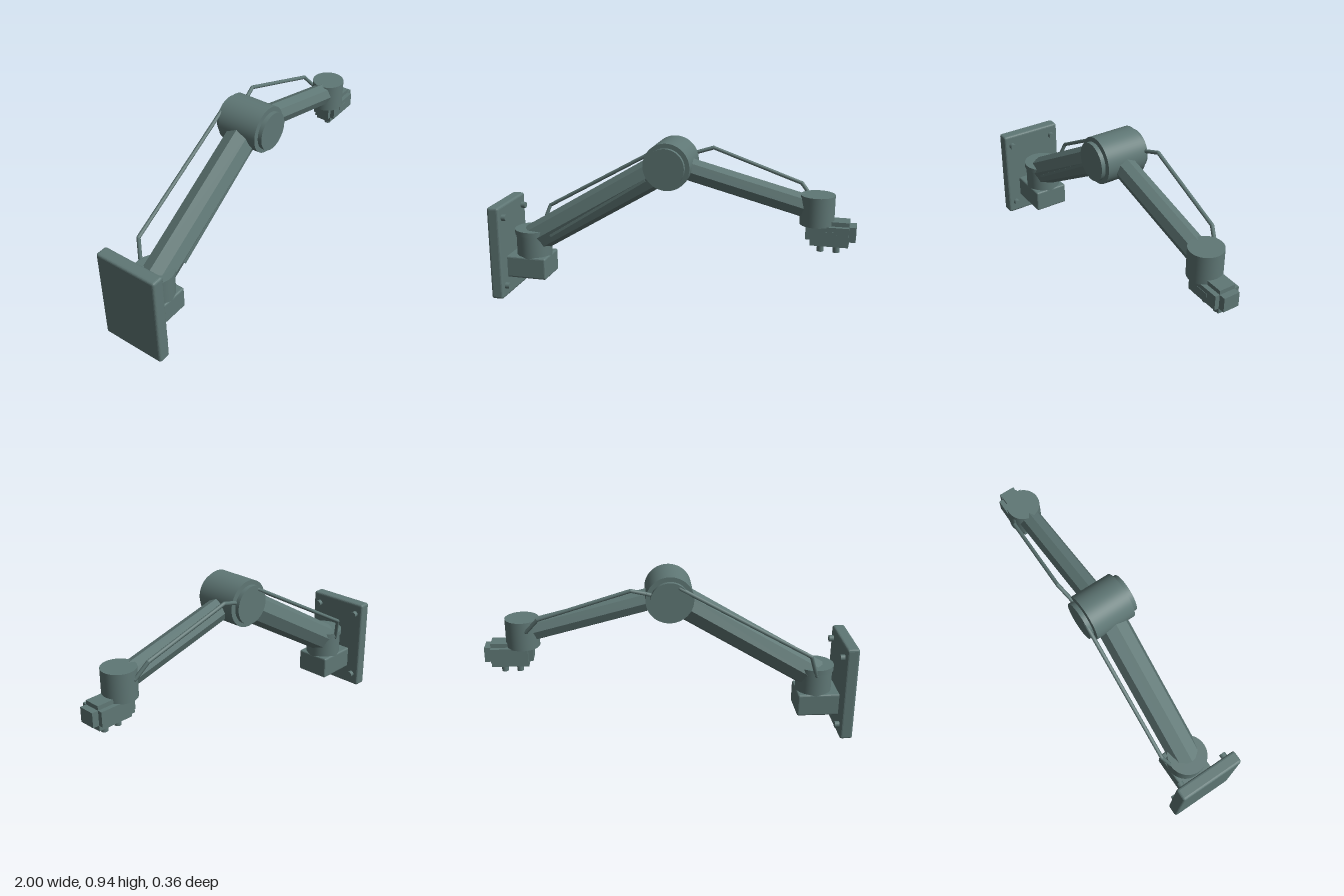
import * as THREE from 'three';
import { RoundedBoxGeometry } from 'three/addons/geometries/RoundedBoxGeometry.js';

const UP = new THREE.Vector3(0, 1, 0);

export function createModel() {
  const model = new THREE.Group();
  model.name = 'wallMountedArm';
  const smooth = new THREE.MeshStandardMaterial({ color: 0x5f7775 });
  const faceted = new THREE.MeshStandardMaterial({ color: 0x5f7775, flatShading: true });

  function add(name, geometry, position, material = smooth, parent = model) {
    const mesh = new THREE.Mesh(geometry, material);
    mesh.name = name;
    mesh.position.set(...position);
    parent.add(mesh);
    return mesh;
  }

  // Box given by its lower and upper corners, with optional eased edges
  function box(name, lo, hi, bevel = 0) {
    const size = hi.map((v, i) => v - lo[i]);
    const geometry = bevel ? new RoundedBoxGeometry(...size, 2, bevel) : new THREE.BoxGeometry(...size);
    return add(name, geometry, hi.map((v, i) => (v + lo[i]) / 2), faceted);
  }

  // Upright cylinder between two heights
  function post(name, x, z, r, y0, y1, sides = 48) {
    return add(name, new THREE.CylinderGeometry(r, r, y1 - y0, sides), [x, (y0 + y1) / 2, z]);
  }

  // Cylinder or prism running from point a to point b
  function rod(name, a, b, r, sides, material, parent) {
    const p = new THREE.Vector3(...a), q = new THREE.Vector3(...b);
    const dir = q.clone().sub(p);
    const mesh = add(name, new THREE.CylinderGeometry(r, r, dir.length(), sides),
      p.add(q).multiplyScalar(0.5).toArray(), material, parent);
    mesh.quaternion.setFromUnitVectors(UP, dir.normalize());
    return mesh;
  }

  // Wall plate with four bolts
  box('wallPlate', [-1, 0, -0.182], [-0.93, 0.54, 0.182], 0.013);
  for (const y of [0.07, 0.475])
    for (const z of [-0.135, 0.135])
      rod('plateBolt', [-0.94, y, z], [-0.905, y, z], 0.018, 16, smooth);

  // Shoulder bracket and pivot
  box('shoulderBracket', [-0.94, 0.108, -0.1], [-0.7, 0.235, 0.1], 0.01);
  post('shoulderPivot', -0.8, 0, 0.1, 0.225, 0.36);
  post('shoulderCap', -0.8, 0, 0.107, 0.357, 0.385);

  // Octagonal arms
  rod('lowerArm', [-0.8, 0.32, 0], [0.01, 0.81, 0], 0.086, 8, faceted);
  rod('upperArm', [0.01, 0.81, 0], [0.8, 0.608, 0], 0.063, 8, faceted);

  // Thin rail along the side of the lower arm
  const rail = add('armRail', new THREE.BoxGeometry(0.66, 0.014, 0.016), [-0.39, 0.55, 0.079], faceted);
  rail.rotation.z = Math.atan2(0.36, 0.56);

  // Elbow drum, with a stepped cap on each end
  const elbow = [0.01, 0.8125];
  rod('elbowDrum', [...elbow, -0.114], [...elbow, 0.114], 0.127, 64, smooth);
  for (const s of [-1, 1]) {
    rod('elbowHub', [...elbow, s * 0.11], [...elbow, s * 0.125], 0.055, 32, smooth);
    rod('elbowCap', [...elbow, s * 0.119], [...elbow, s * 0.142], 0.104, 64, smooth);
  }

  // Wrist and stepped tool head
  post('wrist', 0.795, 0, 0.09, 0.533, 0.69);
  box('headCore', [0.767, 0.425, -0.045], [0.965, 0.56, 0.045]);
  box('headLength', [0.742, 0.457, -0.045], [1, 0.537, 0.045]);
  box('headWidth', [0.767, 0.457, -0.07], [0.965, 0.537, 0.07]);
  box('headPanel', [0.832, 0.483, 0.065], [0.905, 0.512, 0.072]);
  for (const x of [0.82, 0.902]) post('toolPin', x, 0, 0.018, 0.385, 0.43, 16);

  // Cables with straight runs and small rounded bends
  function cable(name, points) {
    const group = new THREE.Group();
    group.name = name;
    model.add(group);
    points.forEach((p, i) => {
      add('cableBend', new THREE.SphereGeometry(0.0105, 10, 8), p, smooth, group);
      if (i) rod('cableRun', points[i - 1], p, 0.0105, 8, smooth, group);
    });
  }
  cable('lowerCable', [[-0.795, 0.35, -0.095], [-0.75, 0.485, -0.138], [-0.04, 0.885, -0.135]]);
  cable('upperCable', [[0.06, 0.83, -0.105], [0.136, 0.855, -0.12], [0.214, 0.878, -0.136],
    [0.7, 0.718, -0.108], [0.765, 0.64, -0.083]]);

  return model;
}
